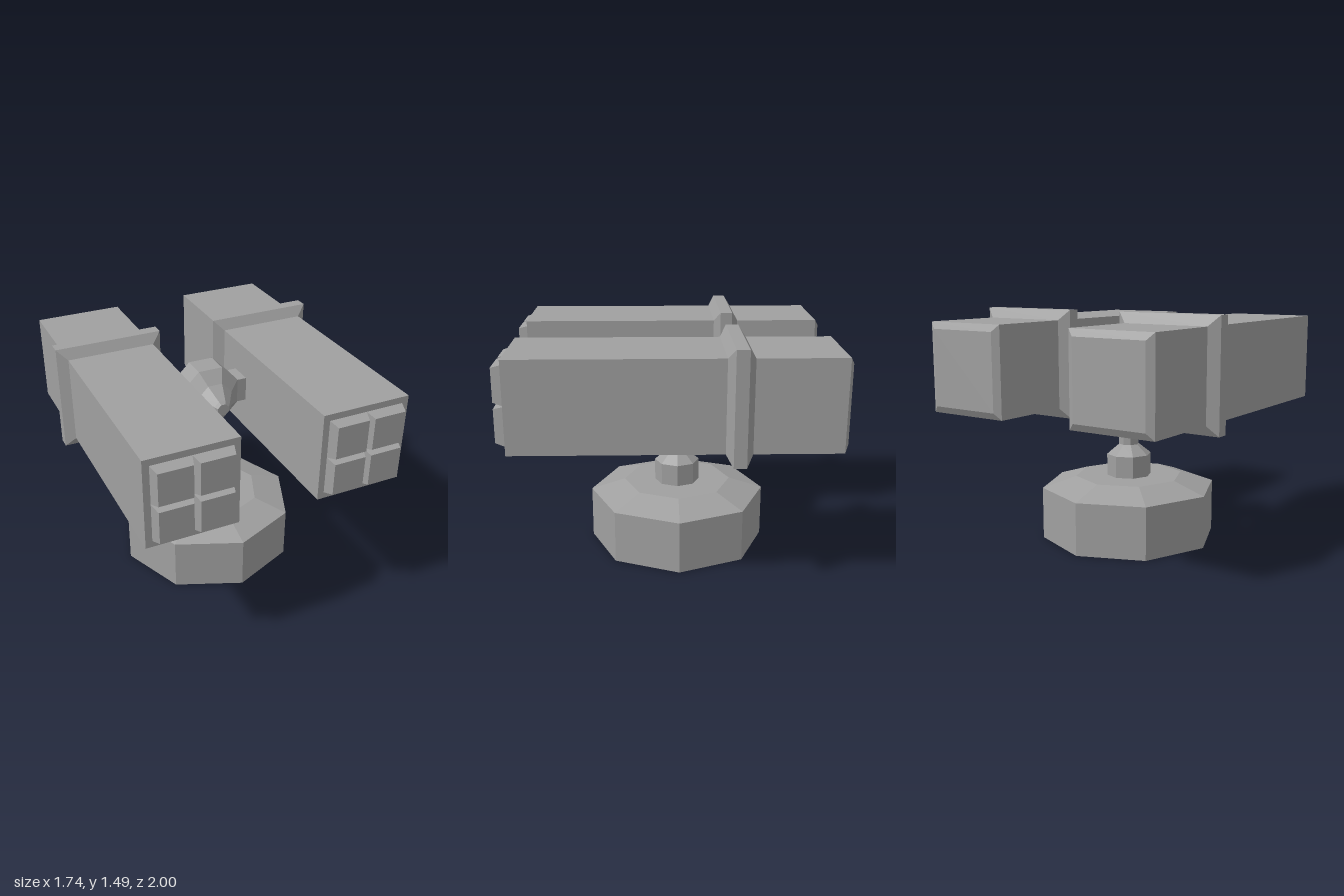
import * as THREE from 'three';

const grey = new THREE.MeshStandardMaterial({ color: 0xa0a0a0, flatShading: true });
grey.name = 'grey metal';

// Faceted solid: profile of [radius to a corner, height], bottom to top
function faceted(name, profile, sides, startAngle = 0) {
  const points = profile.map(([r, h]) => new THREE.Vector2(r, h));
  const mesh = new THREE.Mesh(new THREE.LatheGeometry(points, sides, startAngle), grey);
  mesh.name = name;
  return mesh;
}

// Square solid running along z: profile of [half width, z], back to front
function squareAlongZ(name, profile) {
  const mesh = faceted(name, profile.map(([w, z]) => [w * Math.SQRT2, z]), 4, Math.PI / 4);
  mesh.geometry.rotateX(Math.PI / 2);
  return mesh;
}

// Launcher pod with a raised collar and four bevelled hatches
function makePod(name, x) {
  const pod = new THREE.Group();
  pod.name = name;
  pod.position.set(x, 1.148, 0);
  pod.add(squareAlongZ('podBody', [[0, -1], [0.235, -1], [0.277, -0.975], [0.277, 0.937], [0, 0.937]]));
  pod.add(squareAlongZ('collar', [[0.27, -0.455], [0.277, -0.455], [0.34, -0.415], [0.34, -0.34], [0.277, -0.3], [0.27, -0.3]]));
  for (const sx of [-1, 1]) {
    for (const sy of [-1, 1]) {
      const hatch = squareAlongZ('hatch', [[0.119, 0.935], [0.1, 1], [0, 1]]);
      hatch.position.set(sx * 0.119, sy * 0.119, 0);
      pod.add(hatch);
    }
  }
  return pod;
}

export function createModel() {
  const model = new THREE.Group();
  model.name = 'twinPodTurret';
  const z = -0.05;

  // Octagonal base, socket and post
  const base = faceted('base', [[0, 0], [0.57, 0], [0.57, 0.335], [0.35, 0.405], [0, 0.405]], 8);
  const post = faceted('post', [[0.145, 0.4], [0.145, 0.545], [0.065, 0.61], [0.065, 1.02]], 8);
  base.position.z = post.position.z = z;
  model.add(base, post);

  // Pivot hub with a tapered nose, its axis along z
  const hubProfile = [[0, -0.24], [0.05, -0.24], [0.115, -0.21], [0.19, -0.13], [0.19, 0.02],
    [0.115, 0.09], [0.052, 0.19], [0.037, 0.21], [0, 0.21]];
  const hub = faceted('pivotHub', hubProfile.map(([r, h]) => [r / Math.cos(Math.PI / 8), h]), 8, Math.PI / 8);
  hub.geometry.rotateX(Math.PI / 2);
  hub.position.y = 1.148;
  model.add(hub);

  // Arms and pods on both sides
  for (const side of [-1, 1]) {
    const arm = new THREE.Mesh(new THREE.BoxGeometry(0.14, 0.155, 0.15), grey);
    arm.name = side > 0 ? 'leftArm' : 'rightArm';
    arm.position.set(side * 0.2, 1.148, -0.055);
    model.add(arm, makePod(side > 0 ? 'leftPod' : 'rightPod', side * 0.528));
  }
  return model;
}
